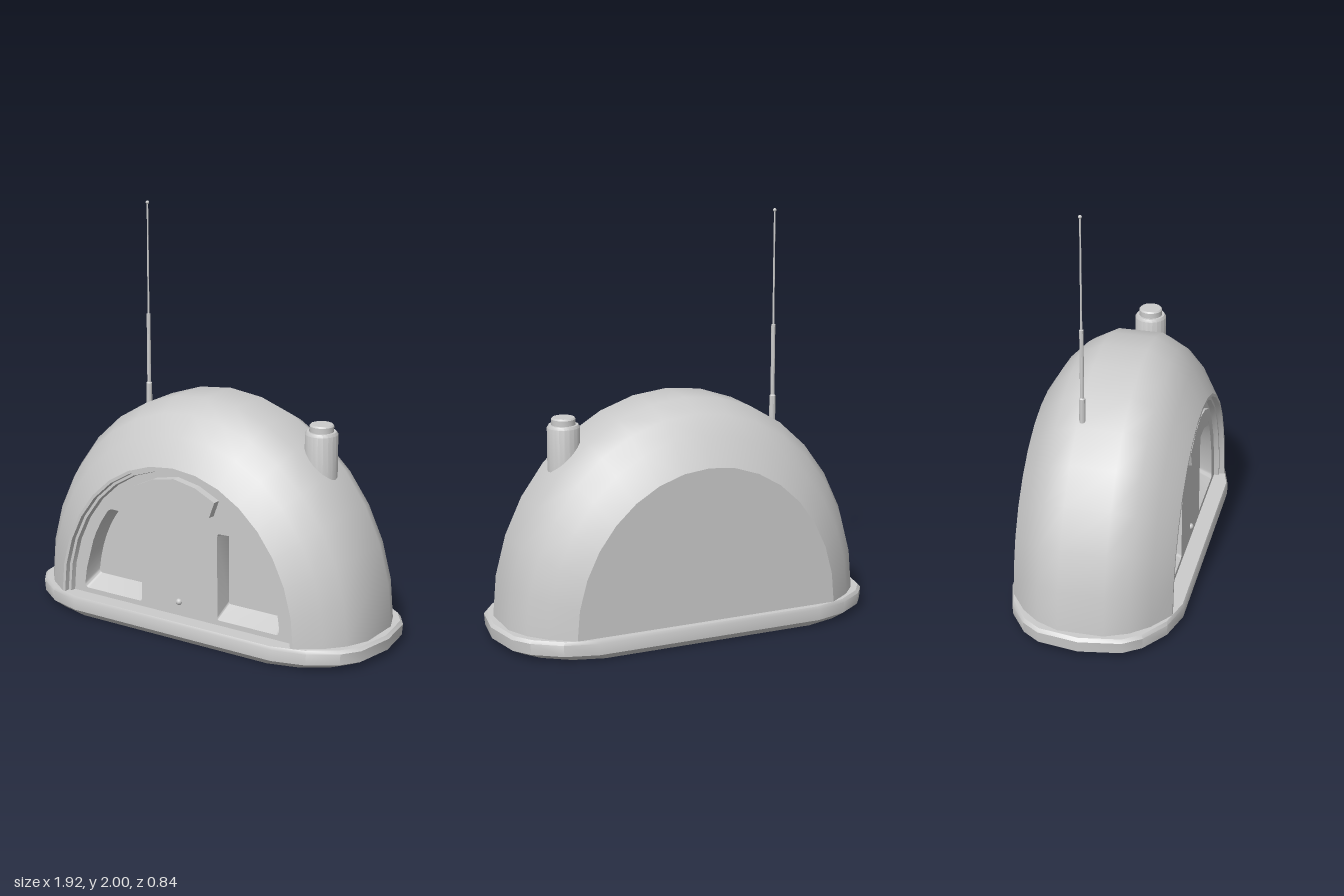
import * as THREE from 'three';
import { toCreasedNormals } from 'three/addons/utils/BufferGeometryUtils.js';

const material = new THREE.MeshStandardMaterial({ color: 0xcccccc });
const twoSided = new THREE.MeshStandardMaterial({ color: 0xcccccc, side: THREE.DoubleSide });
const V = (x, y, z) => new THREE.Vector3(x, y, z);
const FLOOR = 0.1;

// Skin a list of equal-length rings of points
function loft(rings, crease = 0) {
  const n = rings[0].length, index = [];
  for (let i = 0; i < rings.length - 1; i++) {
    for (let j = 0; j < n - 1; j++) {
      const a = i * n + j, b = a + 1, c = a + n, d = c + 1;
      index.push(a, b, c, b, d, c);
    }
  }
  const geometry = new THREE.BufferGeometry().setFromPoints(rings.flat());
  geometry.setIndex(index);
  geometry.computeVertexNormals();
  return crease ? toCreasedNormals(geometry, crease) : geometry;
}

// Half-ellipse standing on the floor, from +x over the top to -x
function arch(rx, ry, z, segments = 16) {
  return Array.from({ length: segments + 1 }, (_, i) => {
    const a = Math.PI * i / segments;
    return V(rx * Math.cos(a), FLOOR + ry * Math.sin(a), z);
  });
}

export function createModel() {
  const group = new THREE.Group();
  const add = (name, geometry, mat = material, parent = group) => {
    const mesh = new THREE.Mesh(geometry, mat);
    mesh.name = name;
    parent.add(mesh);
    return mesh;
  };

  // Base slab with rounded ends and a chamfered underside
  const quarter = [[0.958, 0], [0.925, 0.2], [0.865, 0.285], [0.735, 0.375], [0.575, 0.42]];
  const half = [...quarter, ...quarter.slice().reverse().map(([x, z]) => [-x, z])];
  const outline = [...half, ...half.slice(1).reverse().slice(1).map(([x, z]) => [x, -z]), half[0]];
  const slab = [[0, 0], [0.93, 0], [0.995, 0.03], [1, 0.085], [0.985, FLOOR], [0, FLOOR]];
  add('base', loft(slab.map(([s, y]) => outline.map(([x, z]) => V(x * s, y, -z * s))), 0.7));

  // Domed shell: arches shrinking toward the front and back
  const profile = [[0.385, 0.28], [0.305, 0.145], [0.22, 0.058], [0.11, 0]];
  const sections = [...profile.map(([z, d]) => [-z, d]), ...profile.slice().reverse()];
  add('shell', loft(sections.map(([z, d]) => arch(0.908 - d * 0.85, 1.03 - d, z))));

  // Flat back wall
  const back = add('backWall', new THREE.ShapeGeometry(new THREE.Shape(arch(0.67, 0.75, 0))));
  back.rotation.y = Math.PI;
  back.position.z = -0.385;

  // Stepped rim around the front opening
  const steps = [[0.67, 0.75, 0.385], [0.655, 0.735, 0.385], [0.652, 0.732, 0.36],
    [0.637, 0.72, 0.36], [0.632, 0.715, 0.335]];
  add('frontRim', loft(steps.map(s => arch(...s)), 0.6));

  // Front wall with two mirrored niches
  const WALL = 0.335, NICHE = 0.24;
  const niche = new THREE.Shape();
  niche.moveTo(0.235, 0.125);
  niche.lineTo(0.545, 0.125);
  niche.quadraticCurveTo(0.567, 0.125, 0.565, 0.155);
  niche.bezierCurveTo(0.55, 0.3, 0.5, 0.44, 0.425, 0.54);
  niche.quadraticCurveTo(0.412, 0.56, 0.39, 0.561);
  niche.lineTo(0.235, 0.556);
  niche.quadraticCurveTo(0.22, 0.556, 0.22, 0.54);
  niche.lineTo(0.22, 0.14);
  niche.quadraticCurveTo(0.22, 0.125, 0.235, 0.125);
  const edge = niche.getPoints(6);
  const wall = new THREE.Shape(arch(0.633, 0.716, 0));
  for (const side of [1, -1]) {
    wall.holes.push(new THREE.Path(edge.map(p => new THREE.Vector2(p.x * side, p.y))));
    const inner = edge.map(p => V(side * (0.222 + (p.x - 0.22) * 0.94), 0.5 + (p.y - 0.5) * 0.86, NICHE));
    const outer = edge.map(p => V(side * p.x, p.y, WALL));
    const label = side > 0 ? 'left' : 'right';
    add(label + 'NicheSides', loft([inner, outer], 0.6), twoSided);
    add(label + 'NichePanel', new THREE.ShapeGeometry(new THREE.Shape(inner))).position.z = NICHE;
  }
  add('frontWall', new THREE.ShapeGeometry(wall)).position.z = WALL;

  // Arched hood over the doorway
  const top = [[0.23, 0.72], [0.12, 0.772], [0, 0.795], [-0.12, 0.772], [-0.23, 0.72]];
  const under = [[-0.2, 0.64], [-0.11, 0.678], [0, 0.695], [0.11, 0.678], [0.2, 0.64]];
  const hood = new THREE.Shape([...top, ...under].map(p => new THREE.Vector2(...p)));
  add('hood', new THREE.ExtrudeGeometry(hood, { depth: 0.045, bevelEnabled: false })).position.z = WALL - 0.005;

  // Small knob at the foot of the door
  add('knob', new THREE.SphereGeometry(0.016, 12, 8)).position.set(0, 0.17, WALL);

  // Turned parts: chimney and stepped antenna
  const turned = (name, points, sides, x, z) => {
    const geometry = new THREE.LatheGeometry(points.map(p => new THREE.Vector2(...p)), sides);
    add(name, toCreasedNormals(geometry, 0.6)).position.set(x, 0, z);
  };
  turned('chimney', [[0.078, 0.75], [0.078, 1.02], [0.07, 1.033], [0.058, 1.033],
    [0.058, 1.06], [0.052, 1.067], [0, 1.067]], 20, 0.578, 0);
  turned('antenna', [[0.015, 0.94], [0.015, 1.09], [0.01, 1.095], [0.01, 1.44],
    [0.005, 1.442], [0.004, 1.985]], 10, -0.473, -0.09);
  add('antennaTip', new THREE.SphereGeometry(0.009, 10, 8)).position.set(-0.473, 1.991, -0.09);

  return group;
}
